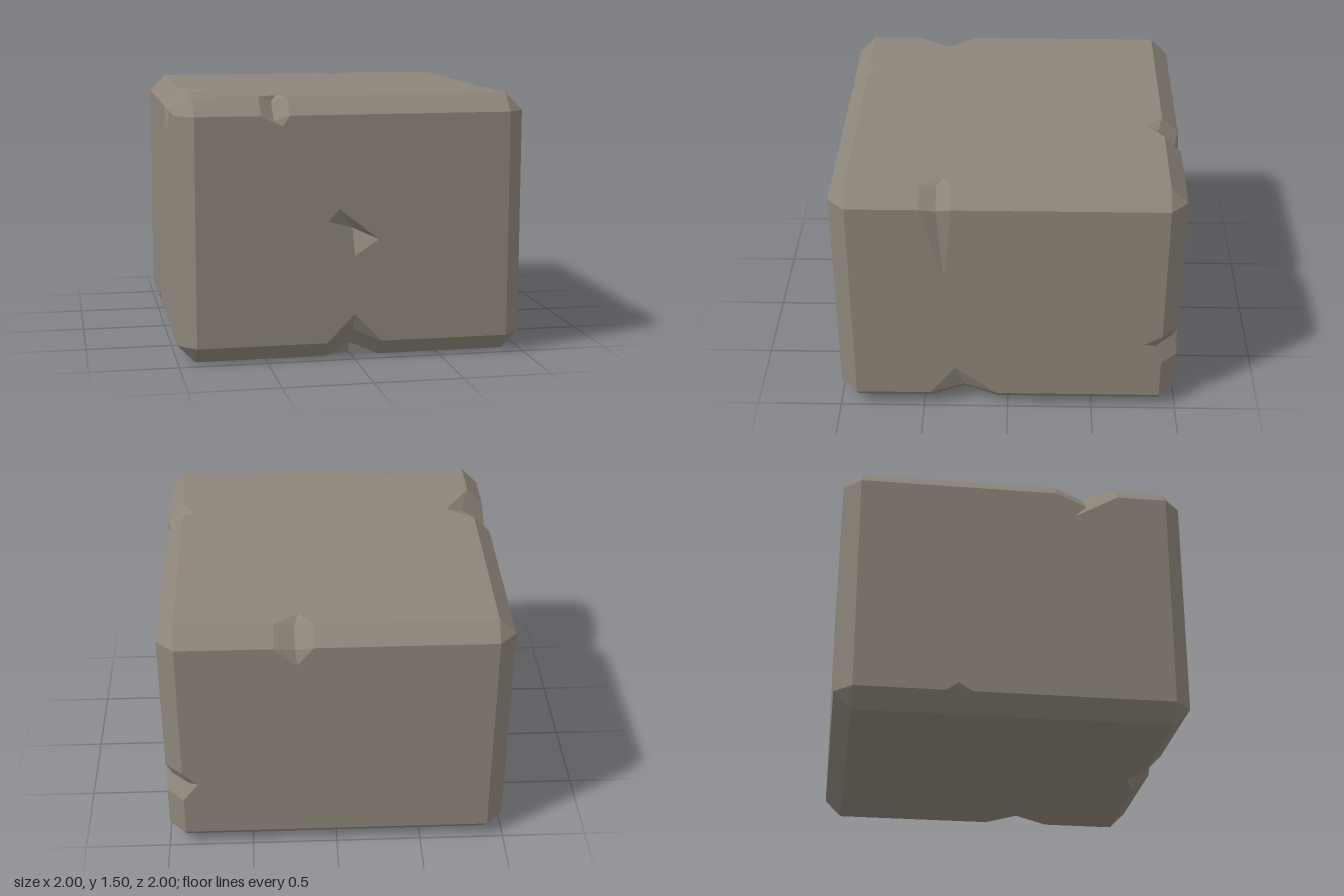
import * as THREE from 'three';

const HALF = [1, 0.75, 1]; // half sizes along x, y, z
const BEVEL = 0.1;
const X = 0, Y = 1, Z = 2;

// Chips in the bevelled edges between faces a and b ([axis, sign]).
// from, to, mid: positions along the edge; depth: how far the valley sinks;
// tipA, tipB: [position along the edge, inset from it] on each face.
const CHIPS = [
  { a: [Y, 1], b: [Z, 1], from: -0.53, to: -0.37, mid: -0.455, depth: 0.03, tipA: [-0.42, 0.17], tipB: [-0.41, 0.16] },
  { a: [Y, 1], b: [X, 1], from: 0.31, to: 0.49, mid: 0.395, depth: 0.02, tipA: [0.36, 0.18], tipB: [0.36, 0.58] },
  { a: [Y, 1], b: [Z, -1], from: 0.13, to: 0.35, mid: 0.235, depth: 0.03, tipA: [0.21, 0.2], tipB: [0.22, 0.21] },
  { a: [Y, 1], b: [X, -1], from: 0.25, to: 0.61, mid: 0.43, depth: 0.05, tipA: [0.36, 0.26], tipB: [0.35, 0.25] },
  { a: [Y, -1], b: [Z, 1], from: -0.16, to: 0.16, mid: 0, depth: 0.06, tipA: [0, 0.18], tipB: [0, 0.26] },
  { a: [Y, -1], b: [X, 1], from: 0.06, to: 0.46, mid: 0.26, depth: 0.04, tipA: [0.21, 0.285], tipB: [0.31, 0.29] },
  { a: [Y, -1], b: [X, -1], from: -0.39, to: -0.24, mid: -0.32, depth: 0.02, tipA: [-0.32, 0.14], tipB: [-0.32, 0.15] },
  { a: [X, 1], b: [Z, -1], from: -0.405, to: -0.21, mid: -0.305, depth: 0.035, tipA: [-0.27, 0.2], tipB: [-0.29, 0.19] },
];

// Small gouge in the middle of the front face
const GOUGE = [[-0.15, 0.05], [-0.09, 0.12], [0.14, -0.06], [0, -0.15]];
const GOUGE_DEPTH = 0.07;

const same = (p, q) => p[0] === q[0] && p[1] === q[1];
const axisVector = (...faces) => {
  const v = new THREE.Vector3();
  faces.forEach(([axis, sign]) => v.setComponent(axis, sign));
  return v;
};

// Point on face a, inset from its edge with face b, at t along the edge
function pointOn(a, b, t, inset = BEVEL, sink = 0) {
  const p = new THREE.Vector3();
  p.setComponent(a[0], a[1] * (HALF[a[0]] - sink));
  p.setComponent(b[0], b[1] * (HALF[b[0]] - inset));
  p.setComponent(3 - a[0] - b[0], t);
  return p;
}

// Collects flat polygons, turning each one to face along a given direction
class Facets {
  constructor() { this.data = []; }
  add(out, ...pts) {
    for (let i = 1; i < pts.length - 1; i++) {
      const [p, q, r] = [pts[0], pts[i], pts[i + 1]];
      const n = q.clone().sub(p).cross(r.clone().sub(p));
      const tri = n.dot(out) < 0 ? [p, r, q] : [p, q, r];
      tri.forEach((v) => this.data.push(v.x, v.y, v.z));
    }
  }
  mesh(name, material) {
    const g = new THREE.BufferGeometry();
    g.setAttribute('position', new THREE.Float32BufferAttribute(this.data, 3));
    g.computeVertexNormals();
    const m = new THREE.Mesh(g, material);
    m.name = name;
    return m;
  }
}

// Flat side with its outline notched by the chips along its borders
function addFace(facets, face) {
  const [axis] = face;
  const u = (axis + 1) % 3, v = (axis + 2) % 3;
  const outline = [];
  const sides = [[[v, -1], u, 1], [[u, 1], v, 1], [[v, 1], u, -1], [[u, -1], v, -1]];
  for (const [border, along, dir] of sides) {
    const pts = [[-dir * (HALF[along] - BEVEL), BEVEL]];
    for (const c of CHIPS) {
      const onA = same(c.a, face) && same(c.b, border);
      const onB = same(c.b, face) && same(c.a, border);
      if (!onA && !onB) continue;
      const cut = [[c.from, BEVEL], onA ? c.tipA : c.tipB, [c.to, BEVEL]];
      pts.push(...(dir > 0 ? cut : cut.reverse()));
    }
    pts.forEach(([t, inset]) => outline.push(pointOn(face, border, t, inset)));
  }
  const hole = same(face, [Z, 1]) ? GOUGE.map(([x, y]) => new THREE.Vector3(x, y, HALF[Z])) : [];
  const flat = (p) => new THREE.Vector2(p.getComponent(u), p.getComponent(v));
  const all = [...outline, ...hole];
  const tris = THREE.ShapeUtils.triangulateShape(outline.map(flat), hole.length ? [hole.map(flat)] : []);
  tris.forEach((t) => facets.add(axisVector(face), ...t.map((i) => all[i])));
}

// Bevel strip along one edge, left open where a chip interrupts it
function addBevel(facets, a, b) {
  const end = HALF[3 - a[0] - b[0]] - BEVEL;
  const stops = [-end];
  CHIPS.filter((c) => (same(c.a, a) && same(c.b, b)) || (same(c.a, b) && same(c.b, a)))
    .forEach((c) => stops.push(c.from, c.to));
  stops.push(end);
  for (let i = 0; i < stops.length; i += 2) {
    const [s, e] = [stops[i], stops[i + 1]];
    facets.add(axisVector(a, b), pointOn(a, b, s), pointOn(a, b, e), pointOn(b, a, e), pointOn(b, a, s));
  }
}

// Broken hollow of a chip: two sloping walls and a pointed end on each face
function addChip(facets, { a, b, from, to, mid, depth, tipA, tipB }) {
  const valleyA = pointOn(a, b, mid, BEVEL + depth, depth);
  const valleyB = pointOn(b, a, mid, BEVEL + depth, depth);
  for (const t of [from, to]) {
    const rimA = pointOn(a, b, t), rimB = pointOn(b, a, t);
    facets.add(axisVector(a, b), rimA, valleyA, valleyB, rimB);
    facets.add(axisVector(a), rimA, pointOn(a, b, ...tipA), valleyA);
    facets.add(axisVector(b), rimB, pointOn(b, a, ...tipB), valleyB);
  }
}

export function createModel() {
  const stone = new THREE.MeshStandardMaterial({ color: 0x8d857a });
  stone.name = 'stone';
  stone.flatShading = true;

  const sides = new Facets(), bevels = new Facets(), corners = new Facets();
  const chips = new Facets(), gouge = new Facets();

  // Six sides and twelve bevelled edges
  for (const axis of [X, Y, Z]) {
    for (const sign of [-1, 1]) {
      addFace(sides, [axis, sign]);
      for (const other of [-1, 1]) addBevel(bevels, [axis, sign], [(axis + 1) % 3, other]);
    }
  }

  // Eight cut corners
  for (const sx of [-1, 1]) for (const sy of [-1, 1]) for (const sz of [-1, 1]) {
    const s = [sx, sy, sz];
    const pts = [X, Y, Z].map((k) => new THREE.Vector3(
      ...s.map((sign, i) => sign * (HALF[i] - (i === k ? 0 : BEVEL)))));
    corners.add(new THREE.Vector3(...s), ...pts);
  }

  CHIPS.forEach((c) => addChip(chips, c));

  // Gouge walls meeting at one deep point
  const deep = new THREE.Vector3(0, 0, HALF[Z] - GOUGE_DEPTH);
  const rim = GOUGE.map(([x, y]) => new THREE.Vector3(x, y, HALF[Z]));
  rim.forEach((p, i) => gouge.add(axisVector([Z, 1]), p, rim[(i + 1) % rim.length], deep));

  const block = new THREE.Group();
  block.name = 'stoneBlock';
  block.add(
    sides.mesh('sides', stone),
    bevels.mesh('bevelledEdges', stone),
    corners.mesh('corners', stone),
    chips.mesh('edgeChips', stone),
    gouge.mesh('frontGouge', stone),
  );
  block.position.y = HALF[Y];

  const model = new THREE.Group();
  model.name = 'chippedStone';
  model.add(block);
  return model;
}
